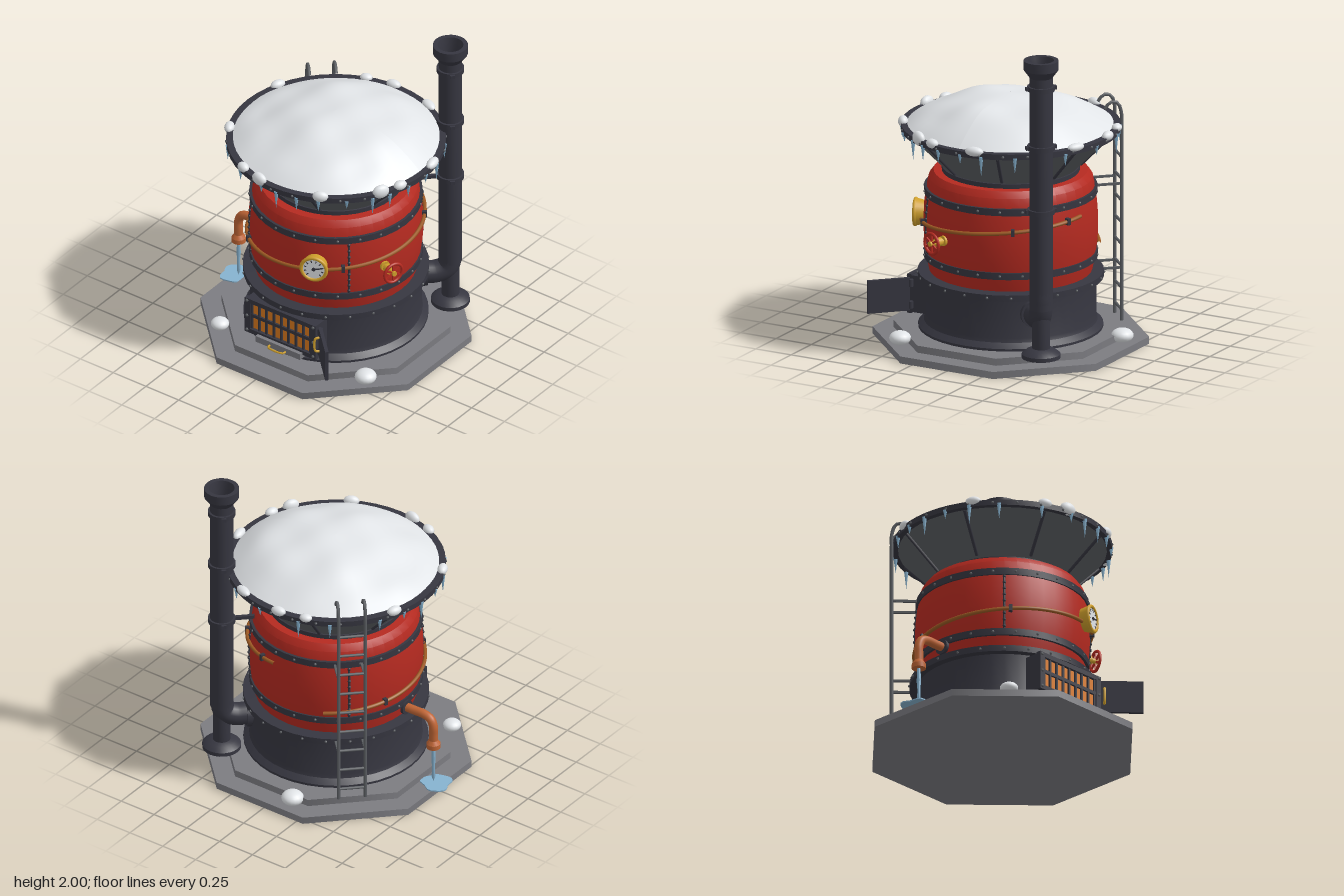
import * as THREE from 'three';
import { mergeGeometries, toCreasedNormals } from 'three/addons/utils/BufferGeometryUtils.js';

const mat = (name, color) => {
  const m = new THREE.MeshStandardMaterial({ color });
  m.name = name;
  return m;
};
const V = (x, y, z) => new THREE.Vector3(x, y, z);
const deg = THREE.MathUtils.degToRad;

export function createModel() {
  const iron = mat('dark iron', 0x363640), red = mat('red paint', 0xb52a20), stone = mat('grey stone', 0x7c7c81);
  const steel = mat('grey steel', 0x5b5e62), snow = mat('snow white', 0xe2e5e8), brass = mat('brass', 0xd0a02c);
  const copper = mat('copper', 0xbf6535), glow = mat('fire orange', 0xdc7a1e), ice = mat('ice blue', 0x86b2cf);
  const hose = mat('brown hose', 0x9c5a24);

  const model = new THREE.Group();
  model.name = 'boiler';
  model.position.x = 0.03;
  const add = (name, geo, material, parent = model) => {
    const mesh = new THREE.Mesh(geo, material);
    mesh.name = name;
    parent.add(mesh);
    return mesh;
  };
  const box = (w, h, d, x, y, z) => new THREE.BoxGeometry(w, h, d).translate(x, y, z);
  const cyl = (r0, r1, h, x, y, z, n = 16) => new THREE.CylinderGeometry(r1, r0, h, n).translate(x, y, z);
  // profile runs from bottom to top as [radius, height]
  const lathe = (pts, n = 40) => toCreasedNormals(
    new THREE.LatheGeometry(pts.map(p => new THREE.Vector2(...p)), n), 0.45);
  const tube = (pts, r, seg = 24, n = 10) => new THREE.TubeGeometry(new THREE.CatmullRomCurve3(pts), seg, r, n);
  // angle 0 faces the front and grows towards +x
  const polar = (a, r, y) => V(r * Math.sin(a), y, r * Math.cos(a));
  // group whose local +z points outwards at the given angle
  const mount = (name, degrees) => {
    const g = new THREE.Group();
    g.name = name;
    g.rotation.y = deg(degrees);
    model.add(g);
    return g;
  };
  const ring = (n, r, y, make, offset = 0) => mergeGeometries(Array.from({ length: n }, (_, i) => {
    const a = (i + offset) / n * Math.PI * 2;
    return make().translate(0, 0, r).rotateY(a).translate(0, y, 0);
  }));
  const rivet = (s = 0.009) => new THREE.SphereGeometry(s, 6, 4);

  // stepped octagonal plinth
  const octagon = (apothem, y0, h) => new THREE.CylinderGeometry(1, 1, h, 8).rotateY(Math.PI / 8)
    .scale(apothem / Math.cos(Math.PI / 8), 1, apothem / Math.cos(Math.PI / 8)).translate(0, y0 + h / 2, 0);
  add('lowerPlinth', octagon(0.792, 0, 0.045), stone);
  add('upperPlinth', octagon(0.67, 0.045, 0.045), stone);

  // firebox drum with flared foot and top flange
  add('firebox', lathe([[0.57, 0.09], [0.57, 0.105], [0.535, 0.135], [0.527, 0.16], [0.527, 0.41],
    [0.573, 0.41], [0.573, 0.45], [0.49, 0.455]]), iron);
  add('fireboxRivets', ring(24, 0.573, 0.43, rivet), steel);

  // barrel body
  const R = y => 0.538 - 0.04 * ((y - 0.76) / 0.32) ** 2;
  const barrel = [];
  for (let i = 0; i <= 10; i++) barrel.push([R(0.45 + 0.06 * i), 0.45 + 0.06 * i]);
  add('barrel', lathe([...barrel, [0.475, 1.09], [0.41, 1.092]]), red);
  for (const y of [0.56, 0.97]) {
    const r = R(y) + 0.013;
    add('barrelBand', lathe([[r - 0.03, y - 0.022], [r, y - 0.022], [r, y + 0.022], [r - 0.03, y + 0.022]]), iron);
    add('bandRivets', ring(24, r, y, rivet, 0.5), steel);
  }
  // riveted seams down the barrel
  for (let k = 0; k < 4; k++) {
    const g = mount('barrelSeam', 45 + 90 * k);
    const seam = tube([0.57, 0.66, 0.76, 0.86, 0.96].map(y => V(0, y, R(y))), 0.007, 12, 6);
    const bolts = Array.from({ length: 9 }, (_, i) => rivet(0.011).translate(0, 0.6 + i * 0.042, R(0.6 + i * 0.042) + 0.003));
    add('seam', mergeGeometries([seam, ...bolts]), iron, g);
  }

  // hopper
  add('hopperCollar', lathe([[0.425, 1.085], [0.425, 1.12], [0.4, 1.125]]), iron);
  add('hopper', lathe([[0.41, 1.115], [0.655, 1.365]]), steel);
  add('hopperRim', lathe([[0.64, 1.352], [0.676, 1.352], [0.676, 1.388], [0.63, 1.39]], 48), iron);
  add('rimRivets', ring(28, 0.676, 1.37, rivet), steel);
  add('hopperRibs', ring(8, 0, 0, () => tube([V(0, 1.135, 0.432), V(0, 1.24, 0.535), V(0, 1.35, 0.643)], 0.011, 4, 6), 0.5), iron);

  // heaped snow
  const heap = new THREE.RingGeometry(0.001, 0.652, 56, 18).rotateX(-Math.PI / 2);
  const hp = heap.attributes.position;
  for (let i = 0; i < hp.count; i++) {
    const x = hp.getX(i), z = hp.getZ(i), t = Math.min(1, Math.hypot(x, z) / 0.652);
    const bumps = Math.sin(7 * x + 4 * z + 1) * Math.sin(8 * z - 3 * x) + 0.6 * Math.sin(15 * x - 6 * z) * Math.sin(11 * z + 5 * x + 2);
    hp.setY(i, 1.378 + (0.208 + 0.06 * x) * (1 - t ** 2.3) + 0.014 * bumps * Math.min(1, 4 * (1 - t)));
  }
  heap.computeVertexNormals();
  add('snowHeap', heap, snow);

  // snow lumps on the rim: [angle, half width, half height]
  const lumps = [[-62, 0.05, 0.03], [-23, 0.045, 0.03], [-9, 0.055, 0.042], [28, 0.05, 0.035], [61, 0.055, 0.045],
    [73, 0.045, 0.03], [100, 0.06, 0.03], [157, 0.06, 0.025], [184, 0.05, 0.03], [-111, 0.05, 0.03], [-160, 0.04, 0.025]];
  for (const [a, w, h] of lumps) {
    add('rimSnow', new THREE.SphereGeometry(1, 14, 10).scale(w, h, 0.032).translate(0, 1.392, 0.662), snow, mount('rimSnowLump', a));
  }
  // snow drifts on the plinth: [x, z, radius, y]
  for (const [x, z, r, y] of [[-0.175, -0.69, 0.07, 0.08], [-0.495, 0.53, 0.057, 0.085], [0.565, 0.46, 0.068, 0.085]]) {
    add('snowDrift', new THREE.SphereGeometry(r, 18, 12).scale(1, 0.65, 1).translate(x, y, z), snow);
  }
  // icicles
  const icicles = [-78, -64, -48, -25, -7, 3, 15, 27, 42, 56, 66, 78, 92, 104, 122, 150, 172, 196, 213, 240, 255, 268];
  add('icicles', mergeGeometries(icicles.map((a, i) => {
    const len = 0.06 + 0.022 * ((i * 7) % 4);
    const p = polar(deg(a), 0.668, 1.365 - len / 2);
    return new THREE.ConeGeometry(0.015, len, 7).rotateX(Math.PI).translate(p.x, p.y, p.z);
  })), ice);

  // chimney with elbow, collars and hollow cap
  const chimney = mount('chimney', 135), cz = 0.711;
  add('stack', lathe([[0.072, 0.4], [0.072, 1.89], [0.082, 1.905], [0.108, 1.94], [0.108, 2], [0.08, 2],
    [0.065, 1.93], [0.065, 1.88], [0.001, 1.88]], 24).translate(0, 0, cz), iron, chimney);
  add('elbow', tube([V(0, 0.32, 0.42), V(0, 0.32, 0.55), V(0, 0.322, 0.63), V(0, 0.35, 0.69), V(0, 0.43, cz), V(0, 0.55, cz)], 0.071, 28, 20), iron, chimney);
  add('elbowCollar', cyl(0.085, 0.085, 0.03, 0, 0, 0, 20).rotateX(Math.PI / 2).translate(0, 0.32, 0.545), iron, chimney);
  add('stackFoot', lathe([[0.12, 0.09], [0.12, 0.115], [0.09, 0.14], [0.055, 0.15], [0.055, 0.36]], 24).translate(0, 0, cz), iron, chimney);
  for (const y of [1.03, 1.44, 1.82]) {
    add('stackCollar', cyl(0.085, 0.085, 0.03, 0, y, cz, 24), iron, chimney);
    add('collarBolts', mergeGeometries([-1, 1].map(s => box(0.02, 0.022, 0.03, s * 0.088, y, cz))), iron, chimney);
  }
  add('stackBracket', box(0.022, 0.022, 0.2, 0, 1.03, 0.58), iron, chimney);

  // fire grate
  add('grateFrame', mergeGeometries([box(0.53, 0.235, 0.14, 0, 0.275, 0.485),
    ...[-1, 1].flatMap(s => [box(0.04, 0.25, 0.03, s * 0.25, 0.275, 0.565), box(0.53, 0.03, 0.03, 0, 0.275 + s * 0.11, 0.565)])]), iron);
  add('fireGlow', box(0.46, 0.19, 0.006, 0, 0.278, 0.558), glow);
  const bars = [box(0.46, 0.022, 0.014, 0, 0.28, 0.567)];
  for (let i = 0; i <= 8; i++) bars.push(box(0.014, 0.19, 0.014, -0.224 + i * 0.056, 0.278, 0.566));
  add('grateBars', mergeGeometries(bars), iron);
  add('frameBolts', mergeGeometries([-1, 1].flatMap(s => [0.17, 0.275, 0.385].map(y => rivet(0.011).translate(s * 0.252, y, 0.58)))), steel);
  add('ashTray', box(0.34, 0.042, 0.12, 0, 0.145, 0.545), stone);
  add('ashTrayHandle', tube([V(-0.06, 0.14, 0.6), V(-0.055, 0.14, 0.628), V(0.055, 0.14, 0.628), V(0.06, 0.14, 0.6)], 0.007, 16, 6), brass);

  // open fire door
  const door = new THREE.Group();
  door.name = 'fireDoor';
  door.position.set(0.283, 0.28, 0.548);
  door.rotation.y = -Math.PI / 4;
  model.add(door);
  add('doorPanel', box(0.27, 0.21, 0.022, 0.14, 0, 0), iron, door);
  add('doorHinges', mergeGeometries([-0.07, 0.07].map(y => cyl(0.018, 0.018, 0.045, 0, y, 0, 10))), iron, door);
  add('doorHandle', tube([V(0.035, -0.05, 0.01), V(0.035, -0.045, 0.035), V(0.035, 0.045, 0.035), V(0.035, 0.05, 0.01)], 0.008, 16, 6), brass, door);

  // pressure gauge
  const gauge = mount('pressureGauge', 23);
  const dial = new THREE.Group();
  dial.name = 'dial';
  dial.position.set(0, 0.795, 0.52);
  gauge.add(dial);
  add('gaugeCase', cyl(0.07, 0.088, 0.07, 0, 0, 0, 28).rotateX(Math.PI / 2).translate(0, 0, 0.035), brass, dial);
  add('gaugeBezel', new THREE.TorusGeometry(0.079, 0.012, 10, 32).translate(0, 0, 0.07), brass, dial);
  add('gaugeFace', new THREE.CircleGeometry(0.07, 28).translate(0, 0, 0.073), snow, dial);
  const marks = Array.from({ length: 10 }, (_, i) => box(0.006, 0.014, 0.003, 0, 0.056, 0.075).rotateZ(deg(-135 + i * 30)));
  add('gaugeMarks', mergeGeometries([...marks, box(0.008, 0.07, 0.004, 0, 0.022, 0.077).rotateZ(deg(-75)),
    cyl(0.012, 0.012, 0.006, 0, 0, 0, 12).rotateX(Math.PI / 2).translate(0, 0, 0.077)]), iron, dial);

  // hand valve
  const valve = mount('handValve', 70);
  add('valveStem', mergeGeometries([[0.032, 0.03, 0.535], [0.016, 0.1, 0.58], [0.028, 0.04, 0.585], [0.016, 0.03, 0.64]]
    .map(([r, l, z]) => cyl(r, r, l, 0, 0, 0, 14).rotateX(Math.PI / 2).translate(0, 0.735, z))), brass, valve);
  const spokes = [0, 1, 2].map(i => box(0.012, 0.126, 0.01, 0, 0, 0).rotateZ(i * Math.PI / 3));
  add('valveWheel', mergeGeometries([new THREE.TorusGeometry(0.064, 0.01, 8, 28), ...spokes]).translate(0, 0.735, 0.637), red, valve);

  // hose winding up round the barrel
  const hoseY = d => 0.745 + d * 0.00084;
  const winding = [];
  for (let d = -152; d <= 172; d += 6) winding.push(polar(deg(d), R(hoseY(d)) + 0.012, hoseY(d)));
  add('hose', tube(winding, 0.012, 120, 8), hose);
  for (const d of [-110, -41, 41, 121, 160]) {
    add('clip', box(0.022, 0.042, 0.03, 0, hoseY(d), R(hoseY(d)) + 0.012), iron, mount('hoseClip', d));
  }

  // copper spout, frozen drip and puddle
  const sx = -0.743;
  add('spout', tube([V(-0.5, 0.52, 0), V(-0.6, 0.52, 0), V(-0.675, 0.52, 0), V(-0.722, 0.502, 0), V(sx, 0.455, 0),
    V(sx, 0.4, 0), V(sx, 0.32, 0)], 0.028, 40, 14), copper);
  add('spoutMouth', lathe([[0.001, 0.305], [0.044, 0.305], [0.044, 0.335], [0.028, 0.36]], 18).translate(sx, 0, 0), copper);
  add('spoutFlange', cyl(0.048, 0.048, 0.02, 0, 0, 0, 18).rotateZ(Math.PI / 2).translate(-0.535, 0.52, 0), iron);
  add('frozenDrip', lathe([[0.001, 0.055], [0.012, 0.09], [0.009, 0.16], [0.014, 0.22], [0.01, 0.31]], 10).translate(sx, 0, 0), ice);
  const edge = Array.from({ length: 24 }, (_, i) => {
    const a = i / 24 * Math.PI * 2, r = 0.092 + 0.01 * Math.sin(3 * a + 1) + 0.007 * Math.sin(5 * a);
    return new THREE.Vector2(r * Math.cos(a), r * Math.sin(a));
  });
  add('puddle', new THREE.ExtrudeGeometry(new THREE.Shape(edge), { depth: 0.008, bevelEnabled: false })
    .rotateX(-Math.PI / 2).translate(-0.765, 0.045, 0), ice);

  // ladder hooked over the rim
  const ladder = mount('ladder', -135.5);
  for (const x of [-0.083, 0.083]) {
    add('ladderRail', tube([V(x, 0.09, 0.682), V(x, 0.7, 0.682), V(x, 1.3, 0.682), V(x, 1.43, 0.68), V(x, 1.49, 0.655),
      V(x, 1.495, 0.61), V(x, 1.455, 0.575)], 0.011, 48, 8), steel, ladder);
  }
  const rungs = Array.from({ length: 9 }, (_, i) => cyl(0.009, 0.009, 0.166, 0, 0, 0, 8).rotateZ(Math.PI / 2).translate(0, 0.16 + i * 0.14, 0.682));
  add('ladderRungs', mergeGeometries(rungs), steel, ladder);
  add('ladderStays', mergeGeometries([-0.083, 0.083].flatMap(x => [box(0.014, 0.014, 0.14, x, 0.43, 0.615),
    box(0.014, 0.014, 0.18, x, 0.97, 0.595)])), steel, ladder);

  const root = new THREE.Group();
  root.name = 'model';
  root.add(model);
  return root;
}
